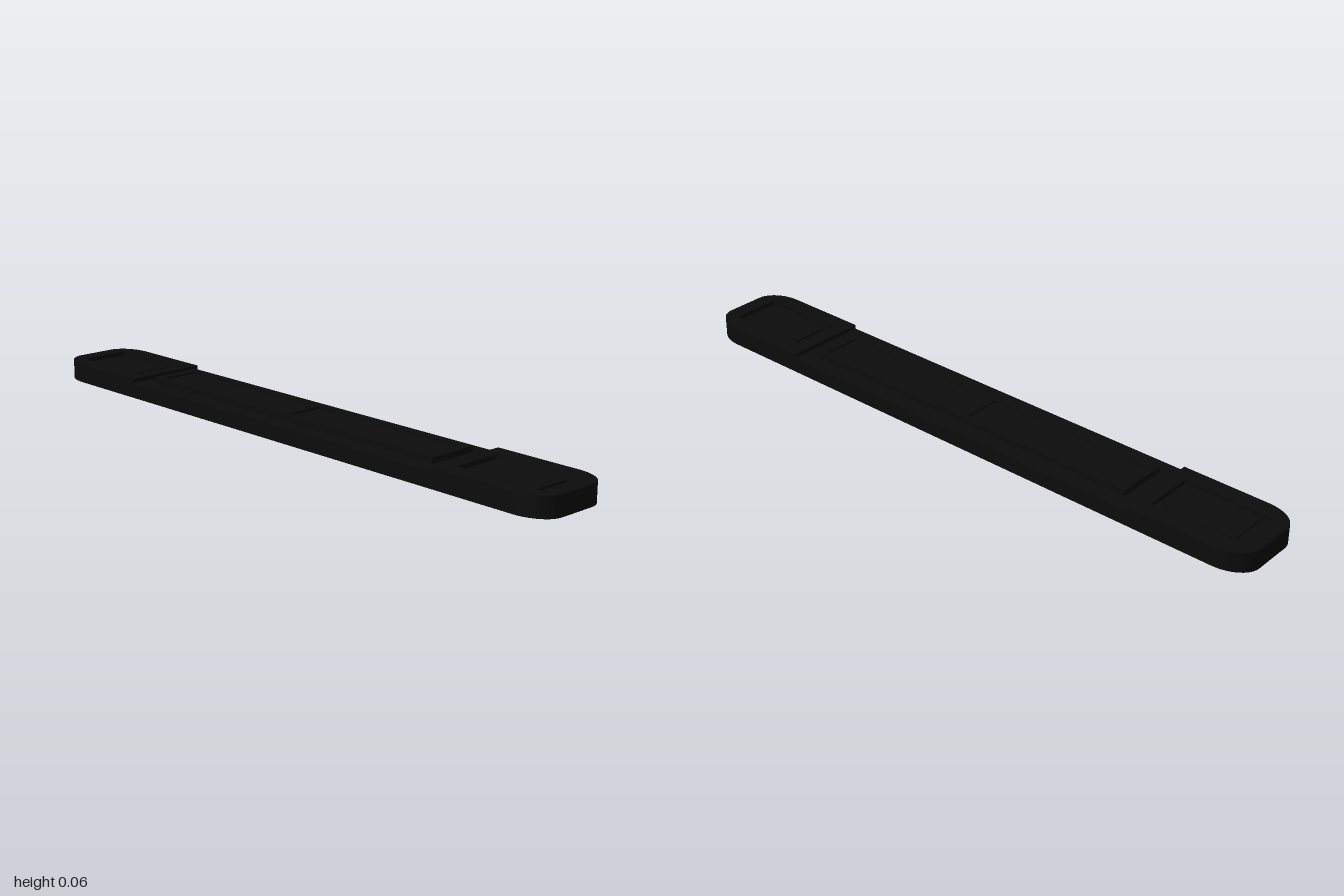
import * as THREE from 'three';

// Outline with elliptical outer corners on the chosen ends
function outline(x0, x1, hz, roundLeft, roundRight) {
  const s = new THREE.Shape();
  const rx = 0.1, rz = 0.07;
  if (roundLeft) s.moveTo(x0 + rx, -hz); else s.moveTo(x0, -hz);
  if (roundRight) {
    s.lineTo(x1 - rx, -hz);
    s.bezierCurveTo(x1 - rx * 0.45, -hz, x1, -hz + rz * 0.45, x1, -hz + rz);
    s.lineTo(x1, hz - rz);
    s.bezierCurveTo(x1, hz - rz * 0.45, x1 - rx * 0.45, hz, x1 - rx, hz);
  } else {
    s.lineTo(x1, -hz);
    s.lineTo(x1, hz);
  }
  if (roundLeft) {
    s.lineTo(x0 + rx, hz);
    s.bezierCurveTo(x0 + rx * 0.45, hz, x0, hz - rz * 0.45, x0, hz - rz);
    s.lineTo(x0, -hz + rz);
    s.bezierCurveTo(x0, -hz + rz * 0.45, x0 + rx * 0.45, -hz, x0 + rx, -hz);
  } else s.lineTo(x0, hz);
  s.closePath();
  return s;
}

// Rectangular opening
function opening(x0, x1, hz) {
  const p = new THREE.Path();
  p.moveTo(x0, -hz);
  p.lineTo(x0, hz);
  p.lineTo(x1, hz);
  p.lineTo(x1, -hz);
  p.closePath();
  return p;
}

export function createModel() {
  const group = new THREE.Group();
  const black = new THREE.MeshStandardMaterial({ color: 0x0c0c0c });
  black.name = 'black';

  // Upright slab from a plan outline, between two heights
  function slab(name, shape, y0, y1) {
    const geo = new THREE.ExtrudeGeometry(shape, { depth: y1 - y0, bevelEnabled: false, curveSegments: 10 });
    geo.rotateX(-Math.PI / 2);
    geo.translate(0, y0, 0);
    const mesh = new THREE.Mesh(geo, black);
    mesh.name = name;
    group.add(mesh);
  }

  const baseTop = 0.047;
  slab('baseBar', outline(-1, 1, 0.13, true, true), 0, baseTop);

  // Raised end pads, each with a recess and a low inner plate
  for (const side of [-1, 1]) {
    const left = side > 0;
    const span = (a, b) => (left ? [a, b] : [-b, -a]);
    const pad = outline(...span(0.63, 1), 0.13, !left, left);
    pad.holes.push(opening(...span(0.67, 0.95), 0.078));
    slab(left ? 'leftEndPad' : 'rightEndPad', pad, baseTop, 0.06);
    slab(left ? 'leftInsetPlate' : 'rightInsetPlate', outline(...span(0.7, 0.92), 0.055), baseTop, 0.054);
  }

  // Raised centre frame with two shallow recessed panels
  const frame = outline(-0.585, 0.585, 0.078);
  for (const [a, b] of [[-0.56, -0.015], [0.015, 0.56]]) {
    frame.holes.push(opening(a, b, 0.058));
    slab('centrePanel', outline(a, b, 0.058), baseTop, 0.058);
  }
  slab('centreFrame', frame, baseTop, 0.065);

  return group;
}
